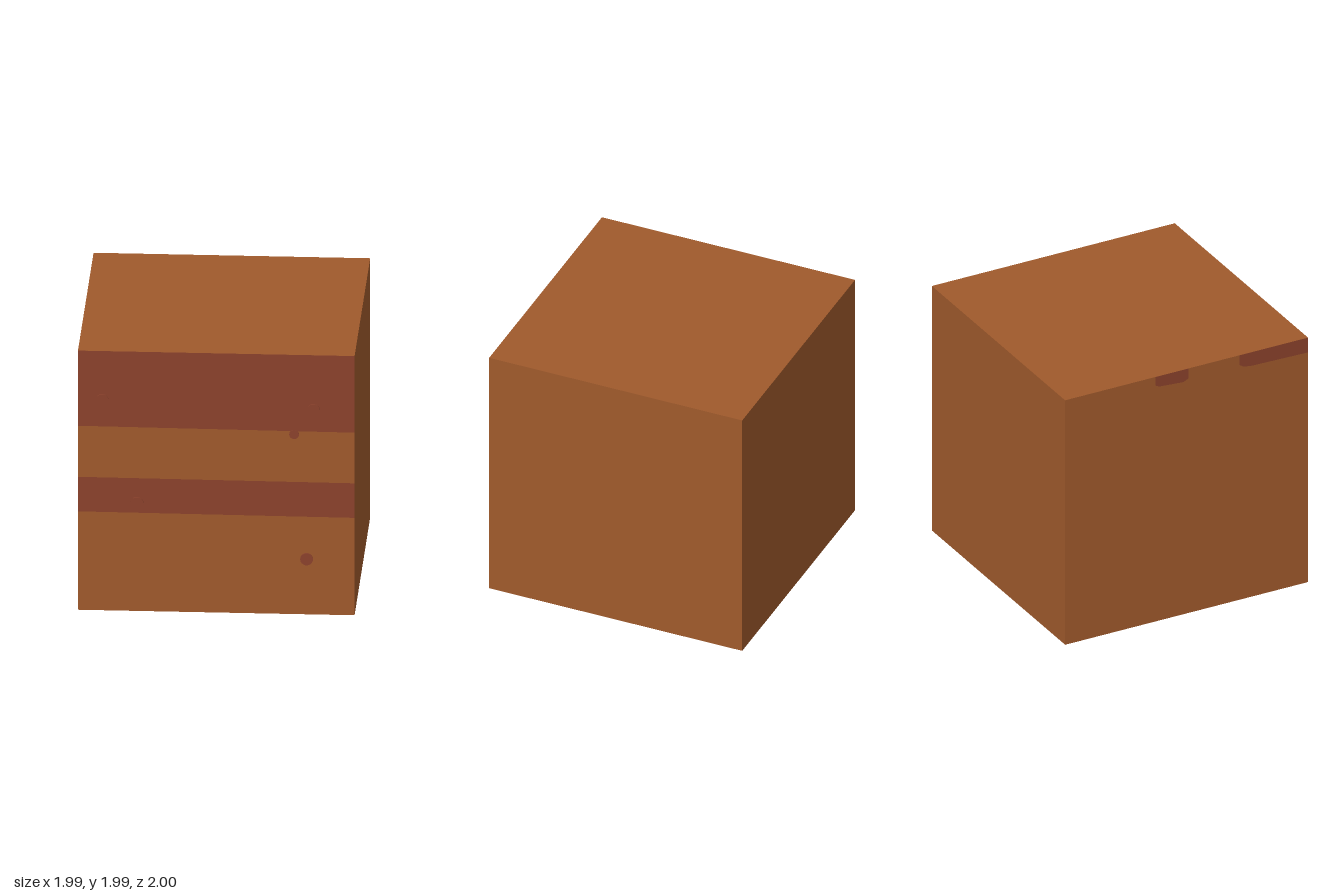
import * as THREE from 'three';

const body = new THREE.MeshStandardMaterial({ color: 0xa05a2c });
body.name = 'brown';
const rust = new THREE.MeshStandardMaterial({ color: 0x8c422c });
rust.name = 'rust red';

const SIZE = 1.99, HALF = SIZE / 2;
const FRONT = 0.99; // front face; the studs stand out to z = 1
const SKIN = 0.001; // lift of painted faces

// flat painted face from [x, y] corners, counter-clockwise
function paint(name, corners) {
  const shape = new THREE.Shape(corners.map(([x, y]) => new THREE.Vector2(x, y)));
  const mesh = new THREE.Mesh(new THREE.ShapeGeometry(shape), rust);
  mesh.name = name;
  return mesh;
}

// round stud on the front face
function stud(name, x, y, radius, depth) {
  const geometry = new THREE.CylinderGeometry(radius, radius, depth, 32).rotateX(Math.PI / 2);
  const mesh = new THREE.Mesh(geometry, rust);
  mesh.name = name;
  mesh.position.set(x, y, FRONT + depth / 2);
  return mesh;
}

export function createModel() {
  const model = new THREE.Group();
  model.name = 'crate';

  // solid block
  const block = new THREE.Mesh(new THREE.BoxGeometry(SIZE, SIZE, FRONT + 1), body);
  block.name = 'block';
  block.position.set(0, HALF, (FRONT - 1) / 2);
  model.add(block);

  // slightly sloping bands on the front
  const upperBand = paint('upperBand', [[-HALF, 1.413], [HALF, 1.402], [HALF, SIZE], [-HALF, SIZE]]);
  const middleBand = paint('middleBand', [[-HALF, 0.756], [HALF, 0.748], [HALF, 1.013], [-HALF, 1.021]]);
  for (const band of [upperBand, middleBand]) {
    band.position.z = FRONT + SKIN;
    model.add(band);
  }

  // four studs and one small spot
  [[-0.82, 1.615], [0.7, 1.57], [-0.57, 0.83], [0.65, 0.425]].forEach(([x, y], i) =>
    model.add(stud('stud' + (i + 1), x, y, 0.046, 0.01)));
  model.add(stud('smallSpot', 0.56, 1.38, 0.035, 0.005));

  // patches under the top edge of the right side, drawn as [z, y]
  const patches = [
    paint('cornerPatch', [[0.43, 1.91], [0.46, 1.89], [0.52, 1.88], [FRONT, 1.87], [FRONT, SIZE], [0.43, SIZE]]),
    paint('smallPatch', [[-0.26, 1.92], [-0.23, 1.905], [-0.03, 1.89], [0.01, 1.91], [0.01, SIZE], [-0.26, SIZE]]),
  ];
  for (const patch of patches) {
    patch.rotation.y = -Math.PI / 2;
    patch.position.x = -HALF - SKIN;
    model.add(patch);
  }

  return model;
}
